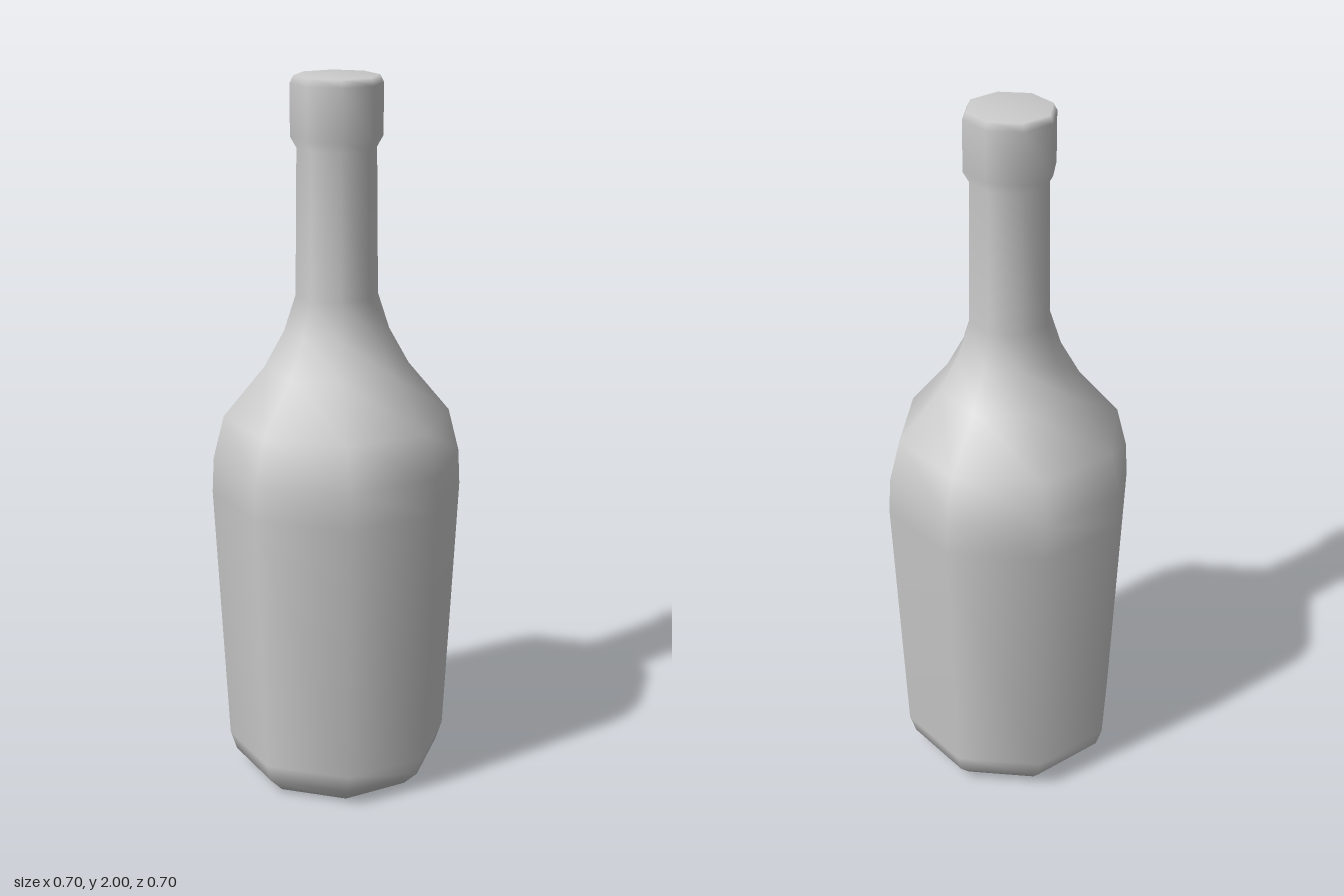
import * as THREE from 'three';

const SIDES = 8;

export function createModel() {
  const group = new THREE.Group();
  group.name = 'bottle';

  // Closed silhouette from the base centre up to the top centre: [radius, height]
  const profile = [
    [0, 0], [0.25, 0], [0.295, 0.045], [0.313, 0.1],             // base
    [0.35, 0.85], [0.345, 0.95], [0.315, 1.07],                  // body
    [0.2, 1.21], [0.145, 1.31], [0.113, 1.41],                   // shoulder
    [0.108, 1.81],                                               // neck
    [0.125, 1.84], [0.125, 1.98], [0.115, 2], [0, 2],            // lip and top
  ].map(([r, y]) => new THREE.Vector2(r, y));

  // Eight-sided, smoothly shaded turned shape with corners on the x and z axes
  const bottle = new THREE.Mesh(
    new THREE.LatheGeometry(profile, SIDES),
    new THREE.MeshStandardMaterial({ color: 0xcccccc })
  );
  bottle.name = 'bottleBody';
  group.add(bottle);

  return group;
}
